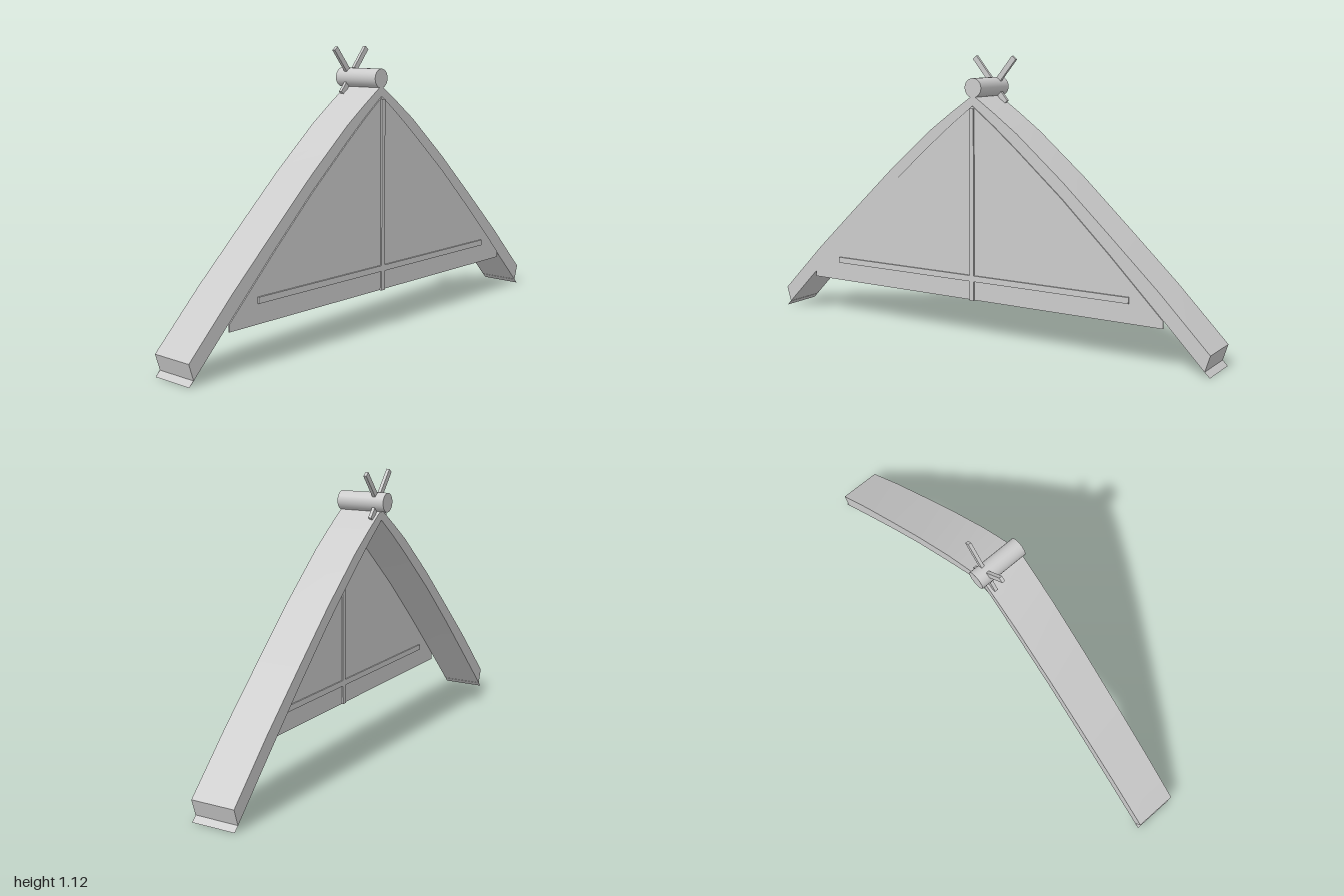
import * as THREE from 'three';
import { toCreasedNormals } from 'three/addons/utils/BufferGeometryUtils.js';

// Half profiles of the roof as [z, y], from ridge to eave
const TOP = [[0, 0.972], [0.1, 0.903], [0.2, 0.83], [0.4, 0.66], [0.6, 0.475], [0.8, 0.287], [1, 0.085]];
const UNDER = [[0, 0.93], [0.1, 0.853], [0.2, 0.77], [0.4, 0.596], [0.6, 0.405], [0.82, 0.185]];
const EAVE = [[0.98, 0.022], [1, 0.003]];

const mirror = (pts) => pts.map(([z, y]) => [-z, y]);
const reversed = (pts) => [...pts].reverse();

export function createModel() {
  const group = new THREE.Group();
  const material = new THREE.MeshStandardMaterial({ color: 0xcccccc, side: THREE.DoubleSide });

  function add(name, geometry, x = 0, y = 0, z = 0) {
    const mesh = new THREE.Mesh(geometry, material);
    mesh.name = name;
    mesh.position.set(x, y, z);
    group.add(mesh);
    return mesh;
  }

  // Extrudes a [z, y] outline along x between x0 and x1
  function slab(outline, x0, x1) {
    const shape = new THREE.Shape(outline.map(([z, y]) => new THREE.Vector2(z, y)));
    const geometry = new THREE.ExtrudeGeometry(shape, { depth: x1 - x0, bevelEnabled: false });
    geometry.rotateY(-Math.PI / 2).translate(x1, 0, 0);
    return toCreasedNormals(geometry, 0.3);
  }

  // Curved roof band with undercut eave ends
  const half = [...TOP, ...EAVE, ...reversed(UNDER)];
  add('roof', slab([...half, ...reversed(mirror(half)).slice(1, -1)], -0.083, 0.095));

  // Gable wall filling the space under the roof
  const wall = [...UNDER, [0.82, 0.157]];
  add('gableWall', slab([...wall, ...reversed(mirror(wall)).slice(0, -1)], 0.094, 0.1));

  // Battens standing proud on both faces of the wall
  add('verticalBatten', new THREE.BoxGeometry(0.018, 0.765, 0.02), 0.098, 0.5375, 0);
  add('horizontalBatten', new THREE.BoxGeometry(0.018, 0.024, 1.37), 0.098, 0.245, 0);

  // Ridge log
  const log = new THREE.CylinderGeometry(0.038, 0.038, 0.205, 24).rotateZ(Math.PI / 2);
  add('ridgeLog', log, -0.0075, 1, 0);

  // Crossed sticks through the log
  for (const side of [1, -1]) {
    const stick = add('crossedStick', new THREE.BoxGeometry(0.013, 0.23, 0.022), -0.065, 1.027, side * 0.019);
    stick.rotation.x = side * 0.69;
  }
  return group;
}
